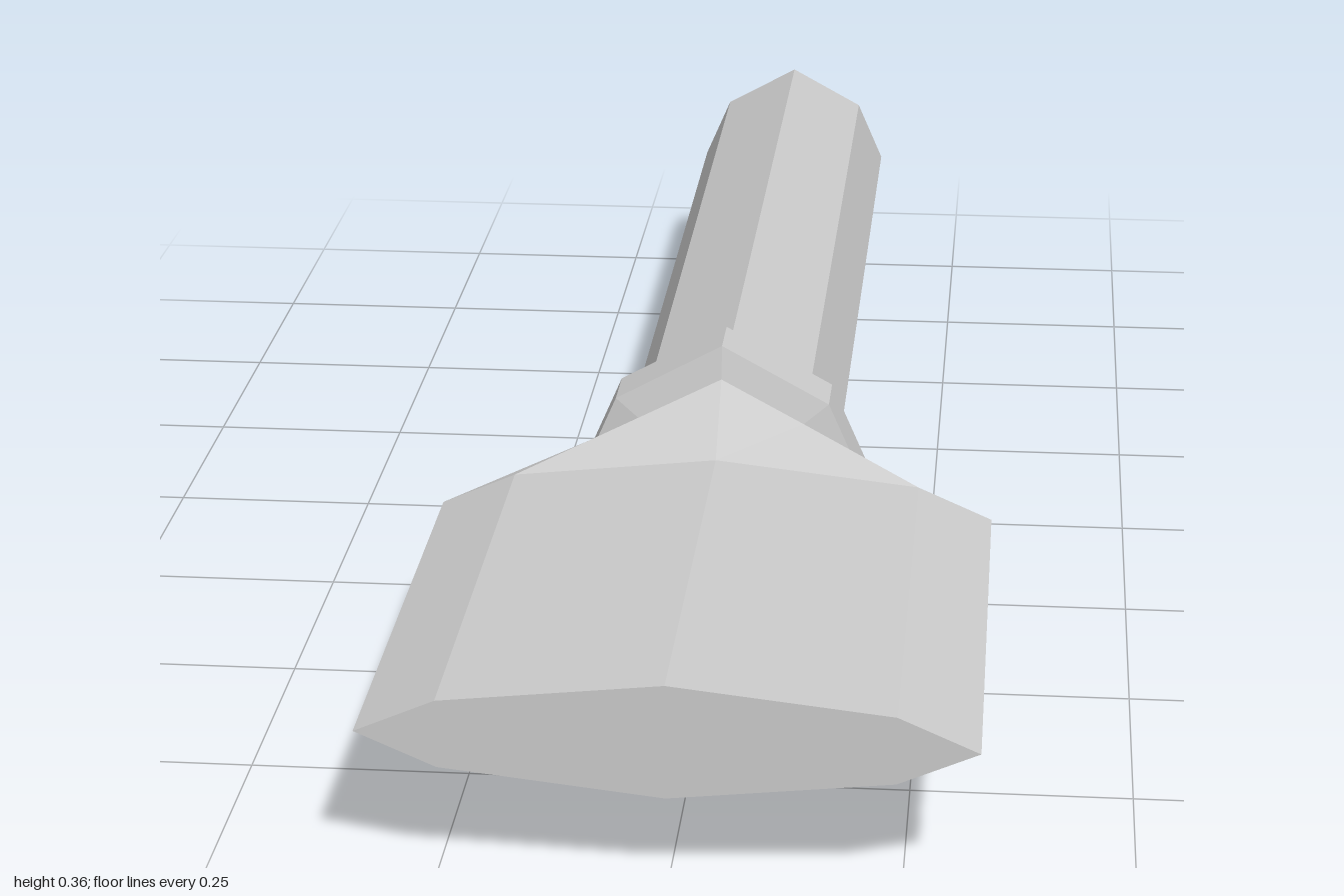
import * as THREE from 'three';

const CENTRE_Y = 0.179;

// Eight-sided ring, counter-clockwise seen from the front:
// side tip (w, 0), shoulder (sx, sy), ridge (0, h), mirrored in x and y
const ring = (w, sx, sy, h) => [
  [w, 0], [sx, sy], [0, h], [-sx, sy], [-w, 0], [-sx, -sy], [0, -h], [sx, -sy],
];

const GRIP = ring(0.136, 0.1, 0.083, 0.138);
const COLLAR = ring(0.176, 0.13, 0.106, 0.178);
const BLADE = ring(0.331, 0.243, 0.039, 0.066);

// Skins [z, ring] sections listed from back to front, with optional end caps
function loft(name, sections, capBack, capFront) {
  const positions = [];
  const point = (s, i) => {
    const [z, r] = sections[s];
    const [x, y] = r[i % r.length];
    return [x, y + CENTRE_Y, z];
  };
  const tri = (a, b, c) => positions.push(...a, ...b, ...c);
  const n = sections[0][1].length;
  const last = sections.length - 1;

  for (let s = 0; s < last; s++) {
    for (let i = 0; i < n; i++) {
      const a = point(s, i), b = point(s, i + 1);
      const c = point(s + 1, i + 1), d = point(s + 1, i);
      tri(a, b, c);
      tri(a, c, d);
    }
  }
  for (let i = 1; i < n - 1; i++) {
    if (capBack) tri(point(0, 0), point(0, i + 1), point(0, i));
    if (capFront) tri(point(last, 0), point(last, i), point(last, i + 1));
  }

  const geometry = new THREE.BufferGeometry();
  geometry.setAttribute('position', new THREE.Float32BufferAttribute(positions, 3));
  geometry.computeVertexNormals();
  const mesh = new THREE.Mesh(
    geometry,
    new THREE.MeshStandardMaterial({ color: 0xcccccc, flatShading: true }),
  );
  mesh.name = name;
  return mesh;
}

export function createModel() {
  const group = new THREE.Group();
  group.name = 'chisel';
  group.add(
    // Straight octagonal grip, closed at the back
    loft('handle', [[-1, GRIP], [0.227, GRIP]], true, false),
    // Chamfered band around the end of the grip
    loft('collar', [[0.227, GRIP], [0.236, COLLAR], [0.302, COLLAR], [0.311, GRIP]], false, false),
    // Neck flaring into the wide flat blade, closed at the front
    loft('blade', [[0.311, GRIP], [0.392, BLADE], [1, BLADE]], false, true),
  );
  return group;
}
